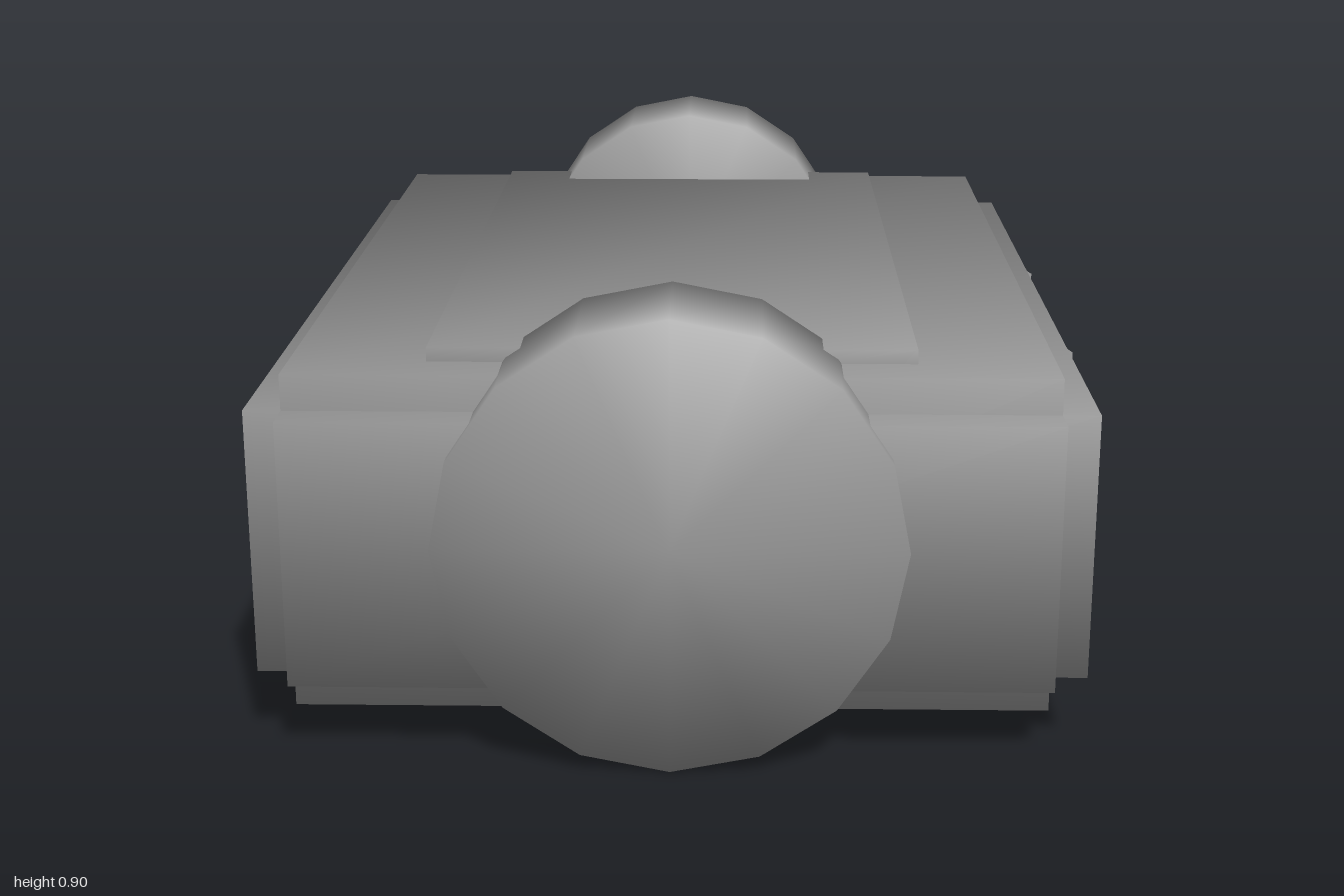
import * as THREE from 'three';

const CX = -0.0175; // body centre line
const material = new THREE.MeshStandardMaterial({ color: 0x999999 });

// Share one evenly averaged normal between all faces meeting at a corner
function soften(geometry) {
  const { position, normal } = geometry.attributes;
  const sums = new Map();
  const keys = [];
  for (let i = 0; i < position.count; i++) {
    const p = new THREE.Vector3().fromBufferAttribute(position, i);
    keys[i] = p.toArray().map((v) => Math.round(v * 1e4)).join();
    if (!sums.has(keys[i])) sums.set(keys[i], new THREE.Vector3());
    sums.get(keys[i]).add(new THREE.Vector3().fromBufferAttribute(normal, i));
  }
  keys.forEach((key, i) => {
    const n = sums.get(key).normalize();
    normal.setXYZ(i, n.x, n.y, n.z);
  });
  return geometry;
}

function part(group, name, geometry) {
  const mesh = new THREE.Mesh(soften(geometry), material);
  mesh.name = name;
  group.add(mesh);
  return mesh;
}

// Box on the centre line, from its width and its y and z limits
function block(group, name, width, y0, y1, z0, z1) {
  const mesh = part(group, name, new THREE.BoxGeometry(width, y1 - y0, z1 - z0));
  mesh.position.set(CX, (y0 + y1) / 2, (z0 + z1) / 2);
}

// 16-sided disc facing along z
function disc(group, name, radius, y, z0, z1) {
  const geometry = new THREE.CylinderGeometry(radius, radius, z1 - z0, 16);
  geometry.rotateX(Math.PI / 2);
  part(group, name, geometry).position.set(CX, y, (z0 + z1) / 2);
}

export function createModel() {
  const model = new THREE.Group();
  model.name = 'device';

  // Body: three crossing blocks that leave stepped edges
  const body = new THREE.Group();
  body.name = 'body';
  model.add(body);
  block(body, 'sideBlock', 1.522, 0.148, 0.65, -0.887, 0.9);
  block(body, 'coreBlock', 1.385, 0.082, 0.717, -0.887, 0.9);
  block(body, 'endBlock', 1.385, 0.148, 0.65, -0.953, 0.967);

  // Raised panel on the top
  block(model, 'topPanel', 0.885, 0.6, 0.743, -0.803, 0.812);

  // Large front disc and smaller, higher back disc
  disc(model, 'frontDisc', 0.424, 0.425, 0.737, 1);
  disc(model, 'backDisc', 0.369, 0.531, -1, -0.71);

  // Two upright 12-sided rollers sunk into the left side
  for (const [name, z] of [['frontRoller', 0.335], ['backRoller', -0.322]]) {
    const geometry = new THREE.CylinderGeometry(0.15, 0.15, 0.463, 12);
    part(model, name, geometry).position.set(0.625, 0.3735, z);
  }
  return model;
}
